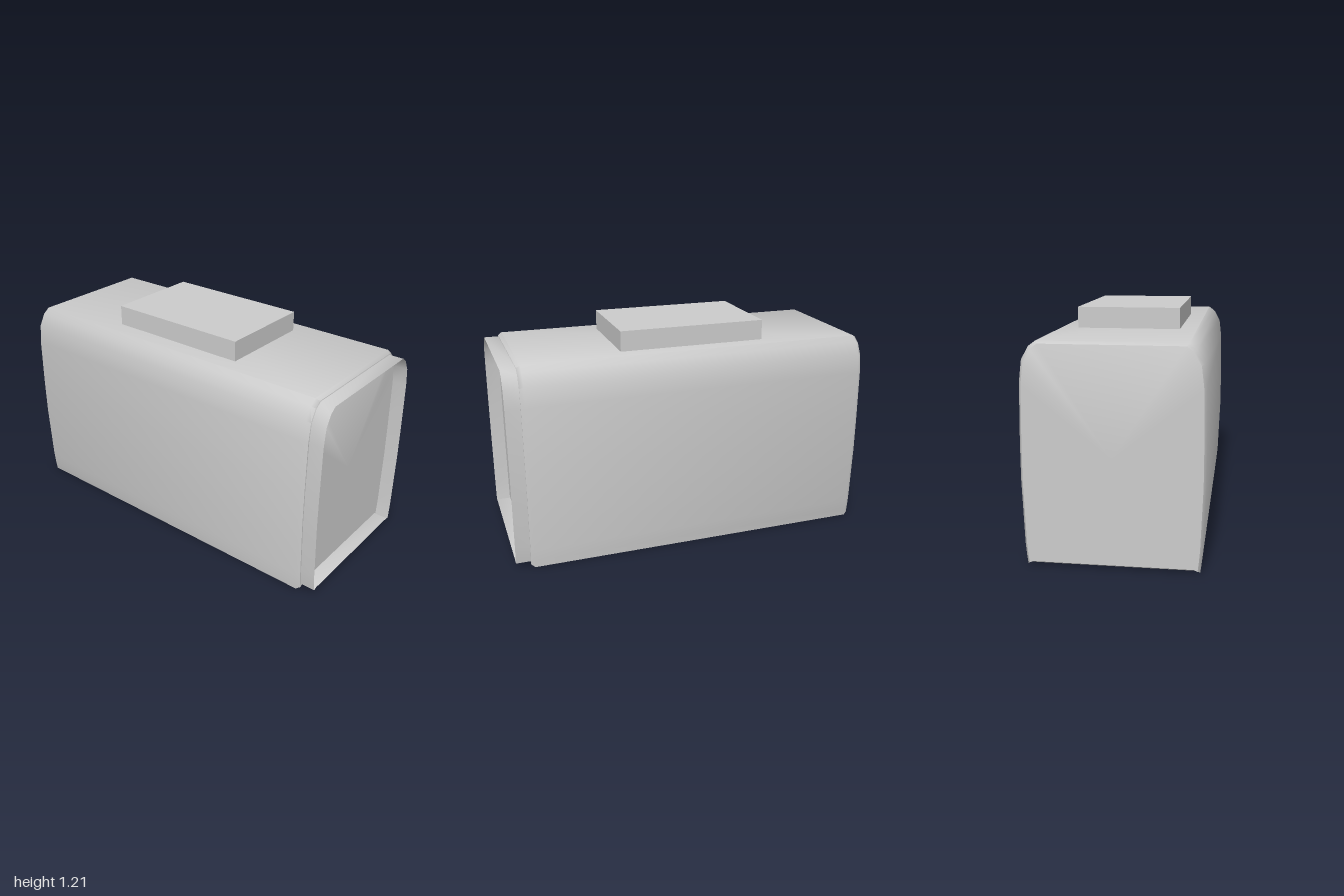
import * as THREE from 'three';
import { toCreasedNormals } from 'three/addons/utils/BufferGeometryUtils.js';

// Right half of the cross-section, bottom to top
const half = [
  [0.405, 0.008], [0.423, 0], [0.428, 0.04], [0.434, 0.106], [0.441, 0.3], [0.446, 0.43], [0.446, 0.62],
  [0.441, 0.907], [0.428, 1.013], [0.393, 1.077], [0.357, 1.104],
];
const outline = [...half, ...half.slice().reverse().map(([x, y]) => [-x, y])];
const MID = 0.552;

// Joins scaled copies of the outline; each section is { z, sx, sy }, scaled about mid height
function loft(sections, capped) {
  const pos = [];
  const n = outline.length;
  const point = (s, j) => {
    const [x, y] = outline[j % n];
    return [x * s.sx, MID + (y - MID) * s.sy + (s.dy || 0), s.z];
  };
  for (let i = 0; i < sections.length - 1; i++) {
    const a = sections[i], b = sections[i + 1];
    for (let j = 0; j < n; j++) {
      pos.push(...point(a, j), ...point(a, j + 1), ...point(b, j + 1));
      pos.push(...point(a, j), ...point(b, j + 1), ...point(b, j));
    }
  }
  if (capped) {
    const first = sections[0], last = sections[sections.length - 1];
    for (let j = 0; j < n; j++) {
      pos.push(0, MID, first.z, ...point(first, j + 1), ...point(first, j));
      pos.push(0, MID, last.z, ...point(last, j), ...point(last, j + 1));
    }
  }
  const geo = new THREE.BufferGeometry();
  geo.setAttribute('position', new THREE.Float32BufferAttribute(pos, 3));
  return toCreasedNormals(geo, 0.9);
}

export function createModel() {
  const group = new THREE.Group();
  const grey = new THREE.MeshStandardMaterial({ color: 0xcccccc, side: THREE.DoubleSide });
  grey.name = 'grey';

  const add = (name, geometry) => {
    const mesh = new THREE.Mesh(geometry, grey);
    mesh.name = name;
    group.add(mesh);
    return mesh;
  };

  // Long rounded body with softened ends
  add('body', loft([
    { z: -1, sx: 0.97, sy: 0.978 },
    { z: -0.98, sx: 1, sy: 1 },
    { z: 0.9, sx: 1, sy: 1 },
    { z: 0.92, sx: 0.97, sy: 0.978 },
  ], true));

  // Thin open rim around the recessed front panel
  add('frontRim', loft([
    { z: 0.91, sx: 0.955, sy: 0.957, dy: 0.006 },
    { z: 1, sx: 0.955, sy: 0.957, dy: 0.006 },
  ], false));

  // Flat block on the roof
  const block = add('roofBlock', new THREE.BoxGeometry(0.536, 0.123, 0.81));
  block.position.set(0, 1.152, -0.045);

  return group;
}
